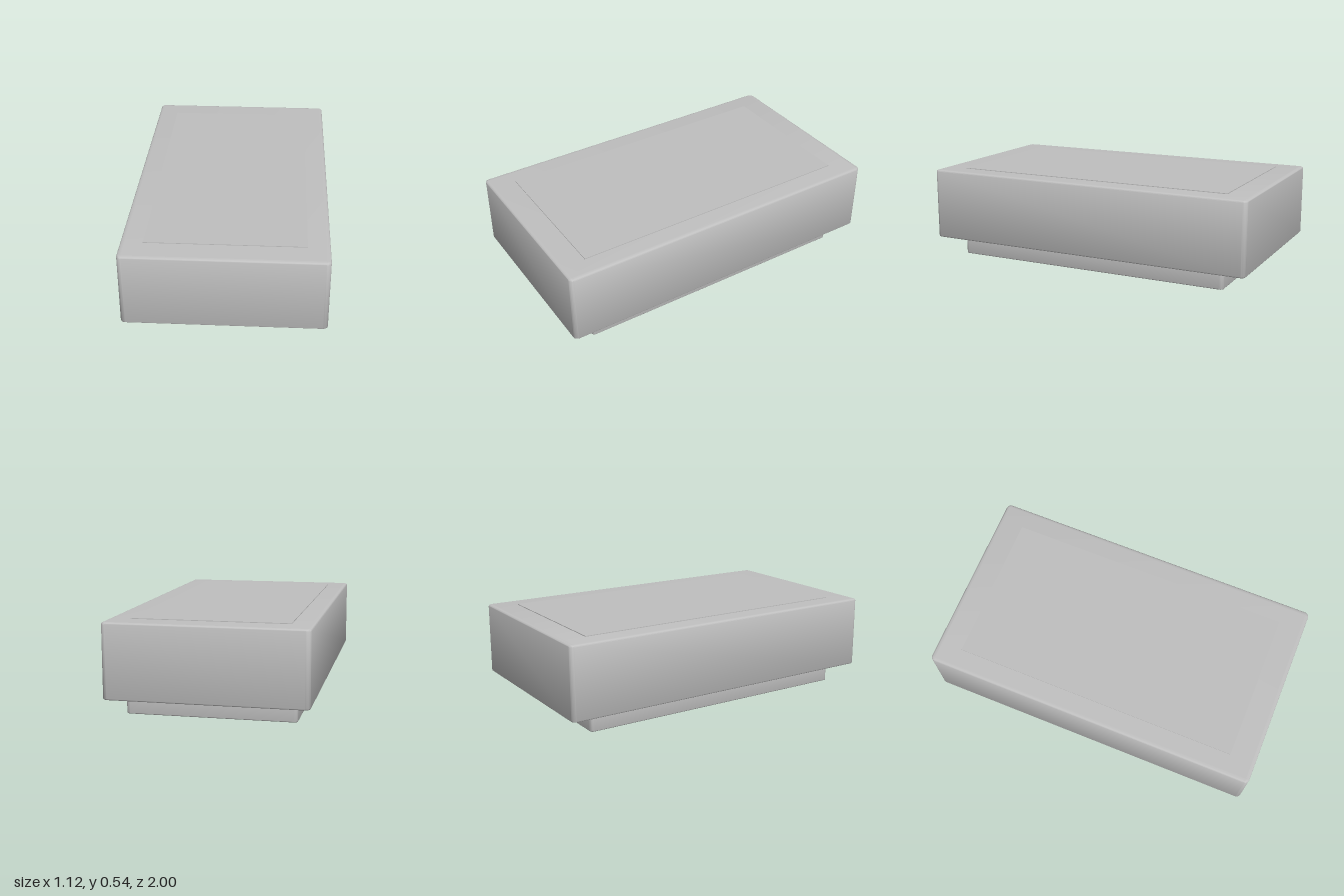
import * as THREE from 'three';
import { toCreasedNormals } from 'three/addons/utils/BufferGeometryUtils.js';

// Traces a rounded rectangle, half sizes w and d, corner radius r
function roundedRect(path, w, d, r) {
  path.moveTo(w, -d + r);
  path.lineTo(w, d - r);
  path.absarc(w - r, d - r, r, 0, Math.PI / 2);
  path.absarc(-w + r, d - r, r, Math.PI / 2, Math.PI);
  path.absarc(-w + r, -d + r, r, Math.PI, Math.PI * 1.5);
  path.absarc(w - r, -d + r, r, Math.PI * 1.5, Math.PI * 2);
  return path;
}

// Upright slab from y0 to y1 with softened edges and an optional opening
function slab(w, d, r, y0, y1, size, thickness, wall = 0) {
  const shape = roundedRect(new THREE.Shape(), w, d, r);
  if (wall) shape.holes.push(roundedRect(new THREE.Path(), w - wall, d - wall, r));
  const geometry = new THREE.ExtrudeGeometry(shape, {
    depth: y1 - y0 - 2 * thickness,
    curveSegments: 5,
    bevelEnabled: true,
    bevelSize: size,
    bevelOffset: -size,
    bevelThickness: thickness,
    bevelSegments: 4,
  });
  geometry.rotateX(-Math.PI / 2);
  geometry.translate(0, y0 + thickness, 0);
  return toCreasedNormals(geometry, 0.7);
}

export function createModel() {
  const model = new THREE.Group();
  const grey = new THREE.MeshStandardMaterial({ color: 0xc0c0c0 });
  grey.name = 'light grey';

  const add = (name, geometry) => {
    const mesh = new THREE.Mesh(geometry, grey);
    mesh.name = name;
    model.add(mesh);
  };

  // Main block
  add('body', slab(0.5625, 1, 0.028, 0.107, 0.532, 0.02, 0.01));

  // Hollow foot rim, open below up to the underside of the block
  add('baseRim', slab(0.477, 0.85, 0.02, 0, 0.125, 0.008, 0.006, 0.03));

  // Thin raised panel on top
  const panel = new THREE.BoxGeometry(0.88, 0.006, 1.7);
  panel.translate(0, 0.533, 0);
  add('topPanel', panel);

  return model;
}
